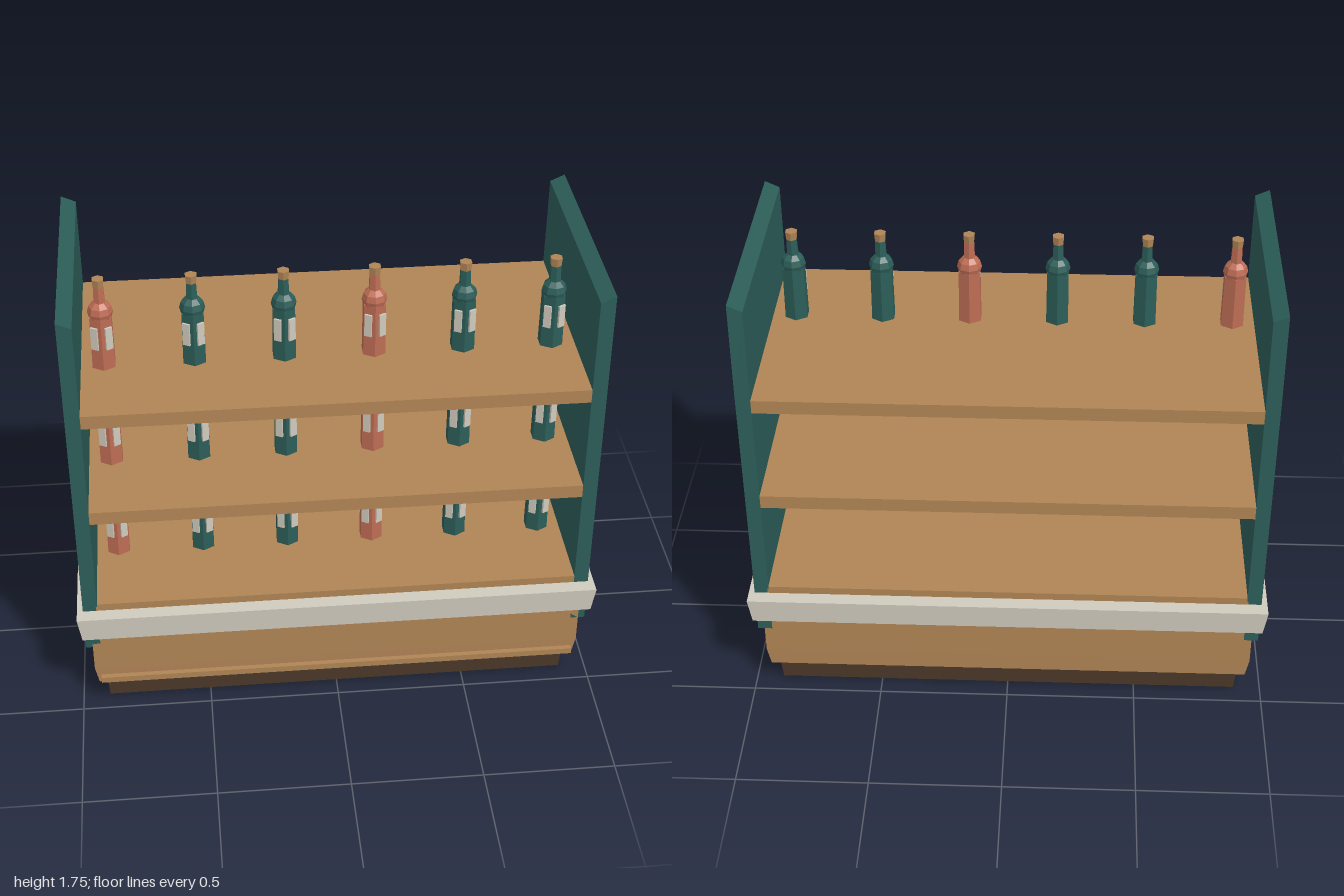
import * as THREE from 'three';

const paint = (name, color) => {
  const m = new THREE.MeshStandardMaterial({ color, flatShading: true });
  m.name = name;
  return m;
};

export function createModel() {
  const wood = paint('wood', 0xb08455);
  const darkWood = paint('darkWood', 0x4c3929);
  const green = paint('green', 0x2c5d58);
  const cream = paint('cream', 0xd0cabd);
  const terracotta = paint('terracotta', 0xbd6c54);

  const root = new THREE.Group();
  root.name = 'bottleDisplay';

  const add = (parent, name, geo, mat, x = 0, y = 0, z = 0) => {
    const mesh = new THREE.Mesh(geo, mat);
    mesh.name = name;
    mesh.position.set(x, y, z);
    parent.add(mesh);
    return mesh;
  };

  // Box standing on y0, with its vertices moved by an optional rule
  const block = (name, mat, [w, d], y0, y1, x = 0, z = 0, rule = null) => {
    const geo = new THREE.BoxGeometry(w, y1 - y0, d, 1, 4, 1);
    const p = geo.attributes.position;
    if (rule) {
      const v = new THREE.Vector3();
      for (let i = 0; i < p.count; i++) {
        v.fromBufferAttribute(p, i);
        rule(v, v.y / (y1 - y0) + 0.5);
        p.setXYZ(i, v.x, v.y, v.z);
      }
      geo.computeVertexNormals();
    }
    return add(root, name, geo, mat, x, (y0 + y1) / 2, z);
  };

  // Plinth, counter body, deck and front slat
  block('plinth', darkWood, [1.81, 0.86], 0.005, 0.125, 0, 0, (v, t) => {
    v.x *= 0.99 + 0.01 * t;
    v.z *= 0.98 + 0.02 * t;
  });
  block('counter', wood, [1.89, 0.94], 0.115, 0.4, 0, 0, (v, t) => {
    v.x *= t < 0.2 ? 0.985 : 1;
    v.z *= t < 0.2 ? 0.995 : 1;
  });
  block('deck', wood, [1.84, 0.94], 0.39, 0.505);
  block('frontSlat', wood, [1.84, 0.02], 0.145, 0.17, 0, 0.5);

  // Cream band around the counter
  block('counterBand', cream, [1.975, 1.05], 0.375, 0.475, 0, 0, (v, t) => {
    v.x *= 0.99 + 0.015 * t;
    v.z *= 0.99 + 0.01 * t;
  });

  // Side panels with a top sloping down to the inside
  for (const s of [-1, 1]) {
    block('sidePanel', green, [0.055, 0.94], 0.295, 1.75, s * 0.9425, 0, (v, t) => {
      if (t > 0.99) {
        if (v.x * s < 0) v.y -= 0.025;
        v.z = v.z < 0 ? -0.457 : v.z;
      }
    });
  }

  // Open shelves
  for (const y of [0.885, 1.31]) block('shelf', wood, [1.83, 0.94], y, y + 0.053);

  // Shared bottle parts
  const bodyGeo = new THREE.CylinderGeometry(0.046, 0.048, 0.21, 6);
  const shoulderGeo = new THREE.SphereGeometry(0.047, 8, 6);
  const neckGeo = new THREE.CylinderGeometry(0.02, 0.024, 0.1, 6);
  const corkGeo = new THREE.CylinderGeometry(0.024, 0.021, 0.032, 6);
  const labelGeo = new THREE.BoxGeometry(0.028, 0.09, 0.008);

  const bottle = (x, y, glass) => {
    const b = new THREE.Group();
    b.name = 'bottle';
    b.position.set(x, y, 0.13);
    add(b, 'bottleBody', bodyGeo, glass, 0, 0.105, 0);
    add(b, 'bottleShoulder', shoulderGeo, glass, 0, 0.225, 0);
    add(b, 'bottleNeck', neckGeo, glass, 0, 0.295, 0);
    add(b, 'cork', corkGeo, wood, 0, 0.344, 0);
    // Label in two halves, either side of the front edge
    for (const s of [-1, 1]) {
      add(b, 'label', labelGeo, cream, s * 0.026, 0.133, 0.04).rotation.y = s * Math.PI / 6;
    }
    root.add(b);
  };

  // Three rows of six bottles, every third one terracotta
  for (const y of [0.505, 0.938, 1.363]) {
    for (let i = 0; i < 6; i++) {
      bottle(-0.83 + i * 0.331, y, i % 3 === 0 ? terracotta : green);
    }
  }
  return root;
}
